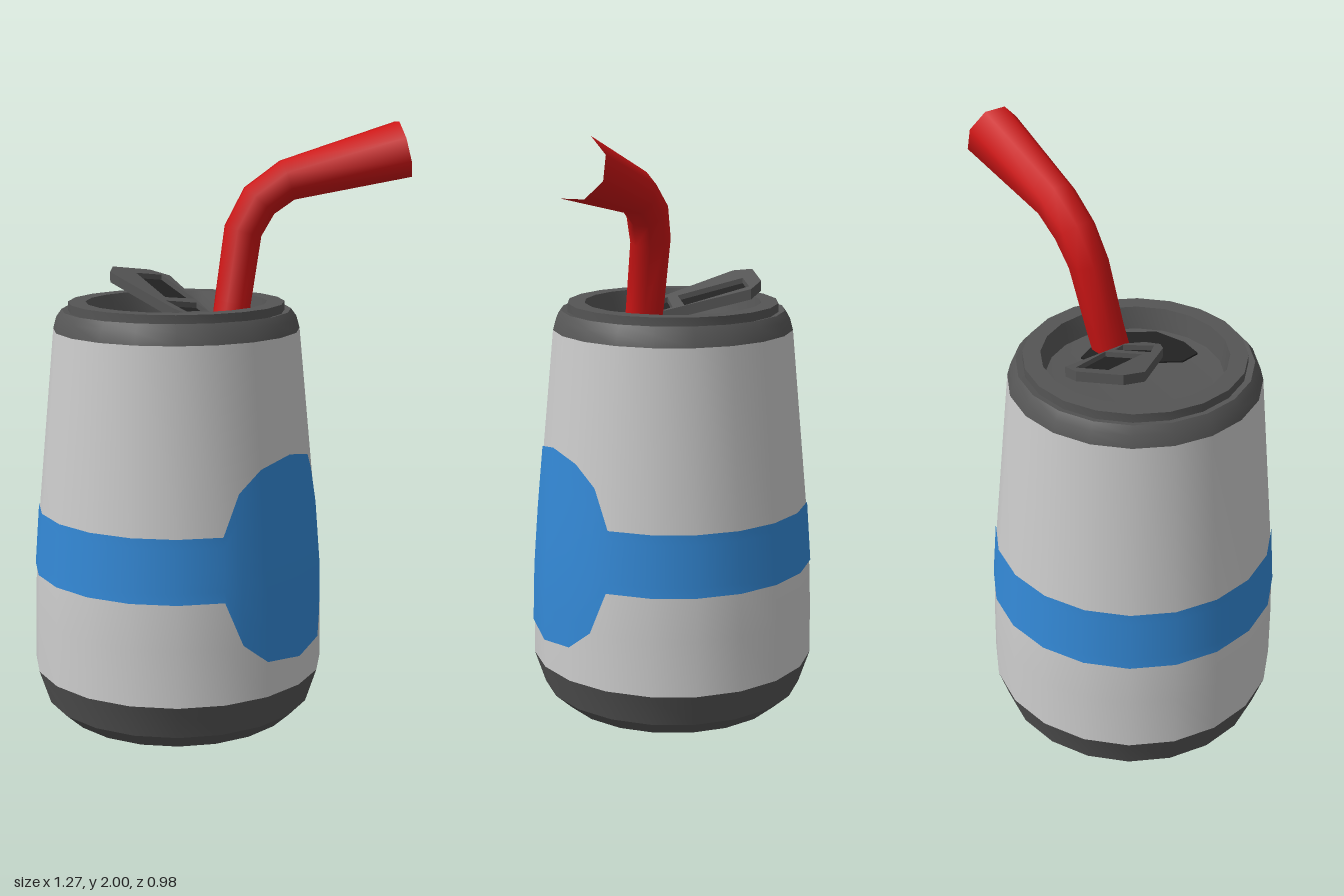
import * as THREE from 'three';
import { toCreasedNormals } from 'three/addons/utils/BufferGeometryUtils.js';

const SIDES = 20, STEP = 18, START = -3.5, CAN_X = -0.143;
const rad = THREE.MathUtils.degToRad;
const paint = (color) => new THREE.MeshStandardMaterial({ color });
const light = paint(0xcccccc), dark = paint(0x555555), black = paint(0x222222);
const blue = paint(0x3388d5), red = paint(0xcc1515);

function add(group, name, geometry, material, crease = 0.5) {
  const mesh = new THREE.Mesh(toCreasedNormals(geometry, crease), material);
  mesh.name = name;
  group.add(mesh);
  return mesh;
}

const lathe = (points) => new THREE.LatheGeometry(
  points.map(([r, y]) => new THREE.Vector2(r, y)), SIDES, rad(START));

// Can wall profile, [radius, height]
const WALL = [[0.493, 0.17], [0.49, 0.36], [0.484, 0.51], [0.468, 0.72], [0.411, 1.32]];

function wallRadius(y) {
  const i = Math.max(1, WALL.findIndex((p) => p[1] >= y));
  const [r0, y0] = WALL[i - 1], [r1, y1] = WALL[i];
  return THREE.MathUtils.mapLinear(y, y0, y1, r0, r1);
}

// Point just outside the faceted wall at an angle in degrees
function onWall(deg, y) {
  const offset = (deg - START) % STEP - STEP / 2;
  const r = wallRadius(y) * Math.cos(rad(STEP / 2)) / Math.cos(rad(offset)) + 0.004;
  return [r * Math.sin(rad(deg)), y, r * Math.cos(rad(deg))];
}

// Grid of points joined into a surface
function surface(rows) {
  const n = rows[0].length, index = [];
  for (let i = 0; i < rows.length - 1; i++) {
    for (let j = 0; j < n - 1; j++) {
      const a = i * n + j, b = a + n;
      index.push(a, b, a + 1, b, b + 1, a + 1);
    }
  }
  const g = new THREE.BufferGeometry();
  g.setAttribute('position', new THREE.Float32BufferAttribute(rows.flat(2), 3));
  g.setIndex(index);
  return g;
}

// Band around the can that widens into a rounded badge
function labelGeometry() {
  const columns = [[14.5, 0.51, 0.72], [22, 0.36, 0.85], [32.5, 0.29, 0.918], [50.5, 0.27, 0.945],
    [68.5, 0.29, 0.918], [79, 0.36, 0.85]];
  for (let k = 5; k <= SIDES + 1; k++) columns.push([START + k * STEP, 0.51, 0.72]);
  return surface(columns.map(([deg, lo, hi]) => {
    const column = [];
    for (let i = 0; i <= 6; i++) column.push(onWall(deg, THREE.MathUtils.lerp(lo, hi, i / 6)));
    return column;
  }));
}

// Flat plate drawn in plan as [x, z], with its top at y = 0
function plate(outline, depth, holes = []) {
  const points = (list) => list.map(([x, z]) => new THREE.Vector2(x, z));
  const shape = new THREE.Shape(points(outline));
  holes.forEach((h) => shape.holes.push(new THREE.Path(points(h))));
  return new THREE.ExtrudeGeometry(shape, { depth, bevelEnabled: false }).rotateX(Math.PI / 2);
}

// Lift a plate onto the tilted plane of the pull tab
function tilt(geometry, drop = 0) {
  const p = geometry.attributes.position;
  for (let i = 0; i < p.count; i++) {
    p.setY(i, p.getY(i) + 1.375 - 0.265 * p.getX(i) - 0.18 * p.getZ(i) - drop);
  }
  return geometry;
}

// Eight-sided sweep through [x, y, z, radius] stations in an upright plane
function sweep(stations) {
  const across = new THREE.Vector3(0, 0, 1);
  const centres = stations.map((s) => new THREE.Vector3(s[0], s[1], s[2]));
  return surface(stations.map((s, i) => {
    const from = centres[Math.max(0, i - 1)], to = centres[Math.min(centres.length - 1, i + 1)];
    const along = to.clone().sub(from).normalize();
    const side = new THREE.Vector3().crossVectors(across, along).normalize();
    const ring = [];
    for (let k = 0; k <= 8; k++) {
      const a = -k * Math.PI / 4 + Math.PI / 8;
      ring.push(centres[i].clone().addScaledVector(side, s[3] * Math.cos(a))
        .addScaledVector(across, s[3] * Math.sin(a)).toArray());
    }
    return ring;
  }));
}

export function createModel() {
  const model = new THREE.Group();
  const can = new THREE.Group();
  can.name = 'can';
  can.position.x = CAN_X;
  model.add(can);

  // Body, label and recessed underside
  add(can, 'body', lathe(WALL), light);
  add(can, 'label', labelGeometry(), blue);
  add(can, 'underside', lathe([[0, 0.08], [0.38, 0.08]]), light);
  add(can, 'base', lathe([[0.38, 0.08], [0.38, 0], [0.395, 0], [0.455, 0.055], [0.493, 0.17]]), dark);

  // Shoulder, rim and sunken lid
  add(can, 'rim', lathe([[0.411, 1.32], [0.4, 1.36], [0.382, 1.385], [0.36, 1.38], [0.36, 1.41],
    [0.302, 1.41], [0.287, 1.335]]), dark);
  add(can, 'lid', lathe([[0.287, 1.335], [0.25, 1.33], [0, 1.33]]), dark);

  // Drinking hole
  const hole = [[-0.18, 0.17], [-0.17, 0.24], [-0.09, 0.25], [0.02, 0.22], [0.09, 0.12], [0.1, 0.05],
    [0.04, -0.08], [-0.03, -0.05]];
  add(model, 'opening', plate(hole, 0.006).translate(0, 1.336, 0), black);

  // Raised pull tab with two dark windows
  const tab = new THREE.Group();
  tab.name = 'pullTab';
  model.add(tab);
  const outline = [[-0.36, -0.135], [-0.35, -0.21], [-0.22, -0.29], [-0.15, -0.28], [-0.03, 0.05],
    [-0.055, 0.11], [-0.11, 0.13], [-0.16, 0.1]];
  const windows = [
    [[-0.27, -0.205], [-0.18, -0.262], [-0.078, -0.07], [-0.18, -0.002]],
    [[-0.178, 0.035], [-0.075, -0.028], [-0.042, 0.03], [-0.115, 0.1]],
  ];
  add(tab, 'tabFrame', tilt(plate(outline, 0.035, windows)), dark);
  windows.forEach((w) => add(tab, 'tabWindow', tilt(plate(w, 0.012), 0.018), black));

  // Bent straw, flaring to a hollow mouth
  const straw = new THREE.Group();
  straw.name = 'straw';
  model.add(straw);
  const mouth = [0.613, 1.906, -0.013, 0.1];
  add(straw, 'strawTube', sweep([[0.027, 1.3, 0.045, 0.063], [0.043, 1.41, 0.022, 0.063],
    [0.08, 1.64, -0.015, 0.066], [0.135, 1.738, -0.028, 0.069], [0.228, 1.805, -0.03, 0.072], mouth]), red, 1);
  add(straw, 'strawInside', sweep([mouth, [0.38, 1.845, -0.022, 0.004]]), red, 1);
  return model;
}
